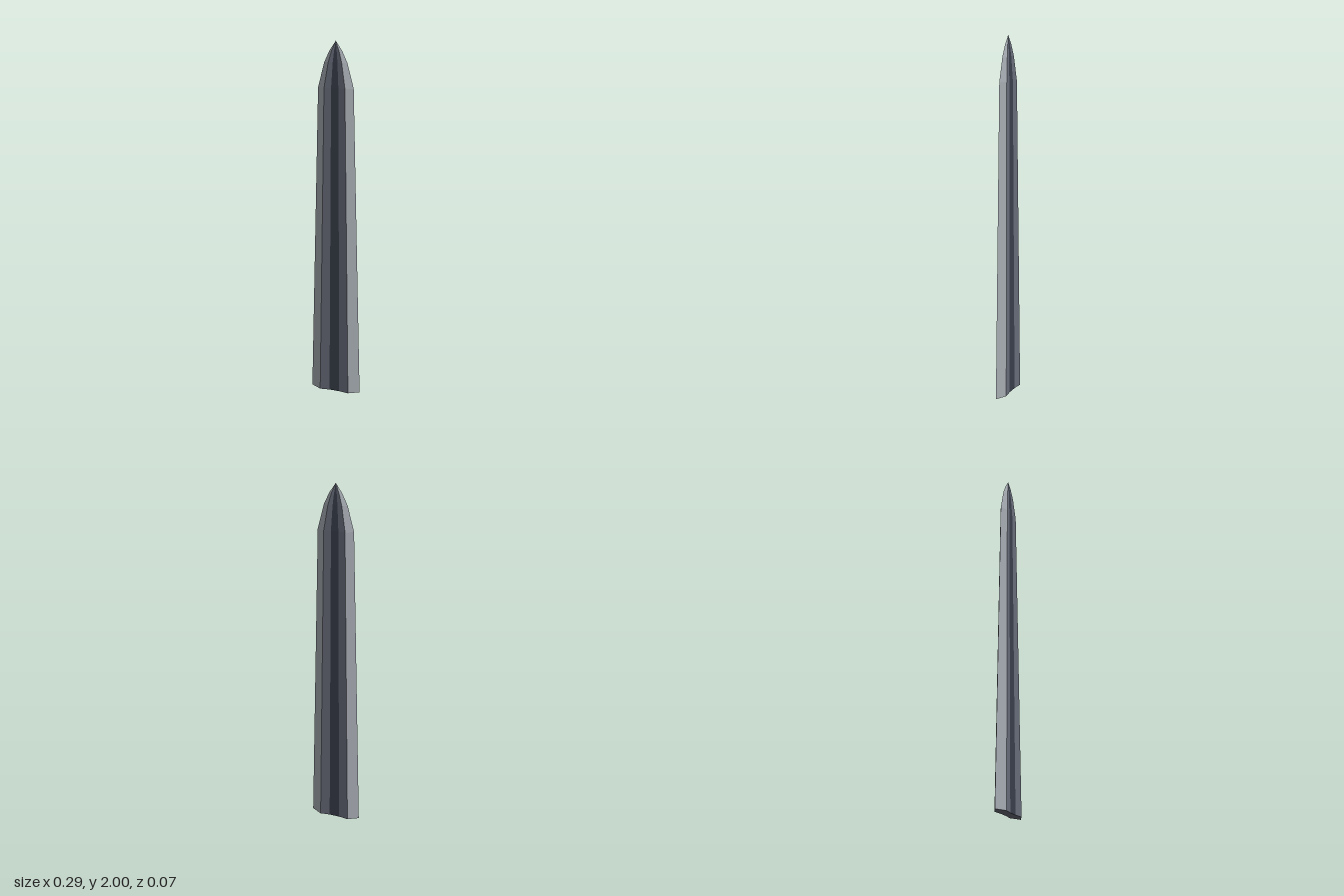
import * as THREE from 'three';

// Base cross-section, counted round from the +x cutting edge: [x, z]
const half = [[0.147, 0], [0.086, 0.033], [0.03, 0.026], [-0.03, 0.026], [-0.086, 0.033]];
const section = [...half, ...half.map(([x, z]) => [-x, -z])];

// Blade taper: [height, scale of the cross-section]
const levels = [[0, 1], [1.76, 0.667], [1.89, 0.43], [1.95, 0.235], [2, 0]];

function point(i, level) {
  const [x, z] = section[i % section.length];
  const [y, s] = levels[level];
  return [x * s, y, z * s];
}

function facetMesh(name, positions, color) {
  const geometry = new THREE.BufferGeometry();
  geometry.setAttribute('position', new THREE.Float32BufferAttribute(positions, 3));
  geometry.computeVertexNormals();
  const material = new THREE.MeshStandardMaterial({ color, flatShading: true });
  const mesh = new THREE.Mesh(geometry, material);
  mesh.name = name;
  return mesh;
}

// Lengthwise facets running from the base to the point
function strips(name, sides, color) {
  const positions = [];
  for (const i of sides) {
    for (let l = 0; l < levels.length - 1; l++) {
      const a = point(i, l), b = point(i + 1, l);
      const c = point(i, l + 1), d = point(i + 1, l + 1);
      positions.push(...a, ...c, ...b);
      if (l < levels.length - 2) positions.push(...b, ...c, ...d);
    }
  }
  return facetMesh(name, positions, color);
}

export function createModel() {
  const blade = new THREE.Group();
  blade.name = 'blade';

  // Pale sharpened bevels, darker inner faces and the central groove
  blade.add(strips('cuttingEdges', [0, 4, 5, 9], 0xa9afb6));
  blade.add(strips('innerFaces', [1, 3, 6, 8], 0x666b78));
  blade.add(strips('centralGroove', [2, 7], 0x383d49));

  // Flat underside
  const cap = [];
  for (let i = 0; i < section.length; i++) {
    cap.push(0, 0, 0, ...point(i, 0), ...point(i + 1, 0));
  }
  blade.add(facetMesh('baseCap', cap, 0x666b78));

  return blade;
}
